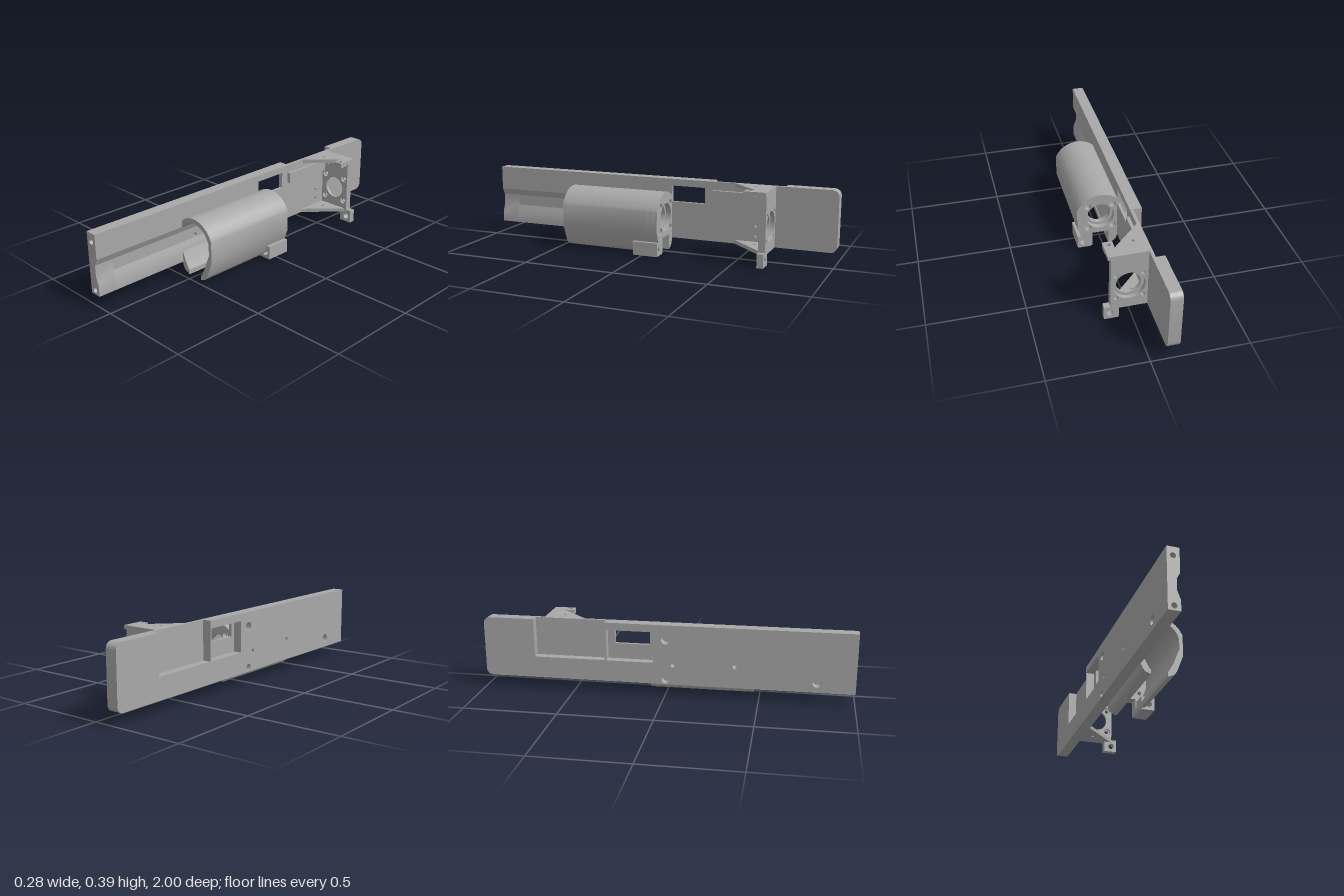
import * as THREE from 'three';
import { toCreasedNormals } from 'three/addons/utils/BufferGeometryUtils.js';

const CX = 0.013, CY = 0.196; // bore axis

// Shape from points, with round holes [x, y, r] and rectangular holes [x0, y0, x1, y1]
function poly(pts, holes = []) {
  const s = new THREE.Shape(pts.map(p => new THREE.Vector2(p[0], p[1])));
  for (const h of holes) {
    if (h.length === 3) {
      const p = new THREE.Path();
      p.absarc(h[0], h[1], h[2], 0, Math.PI * 2, true);
      s.holes.push(p);
    } else {
      const [a, b, c, d] = h;
      s.holes.push(new THREE.Path([[a, b], [a, d], [c, d], [c, b]].map(p => new THREE.Vector2(...p))));
    }
  }
  return s;
}
const rect = (x0, y0, x1, y1, holes) => poly([[x0, y0], [x1, y0], [x1, y1], [x0, y1]], holes);

// Points of an arc around the bore axis
function arc(r, a0, a1, n = 28) {
  return Array.from({ length: n + 1 }, (_, i) => {
    const a = THREE.MathUtils.degToRad(a0 + (a1 - a0) * i / n);
    return [CX + r * Math.cos(a), CY + r * Math.sin(a)];
  });
}

// Rounded rear end of the plate, in (-z, y)
function rearEnd(r = 0.035) {
  const out = [];
  for (const [cy, a0] of [[0.062 + r, -90], [0.391 - r, 0]]) {
    for (let i = 0; i <= 6; i++) {
      const a = THREE.MathUtils.degToRad(a0 + 15 * i);
      out.push([1 - r + r * Math.cos(a), cy + r * Math.sin(a)]);
    }
  }
  return out;
}

export function createModel() {
  const model = new THREE.Group();
  const grey = new THREE.MeshStandardMaterial({ color: 0xa8a8a8 });
  grey.name = 'grey';

  // Extrude along z (front profile), x (side profile in -z, y) or y (plan in x, -z)
  function add(name, shape, from, to, axis = 'z', parent = model) {
    let g = new THREE.ExtrudeGeometry(shape, { depth: to - from, bevelEnabled: false, curveSegments: 24 });
    g.translate(0, 0, from);
    if (axis === 'x') g.rotateY(Math.PI / 2);
    if (axis === 'y') g.rotateX(-Math.PI / 2);
    g = toCreasedNormals(g, 0.45);
    const m = new THREE.Mesh(g, grey);
    m.name = name;
    parent.add(m);
    return m;
  }
  function group(name) {
    const g = new THREE.Group();
    g.name = name;
    model.add(g);
    return g;
  }

  // Long side plate
  const plate = group('sidePlate');
  const XO = -0.143, XM = -0.097, XI = -0.08, B = 0.062, T = 0.391, CAP = 0.9;
  add('plateOuterLayer', poly(
    [[-CAP, B], ...rearEnd(), [0.72, T], [0.72, 0.18], [0.33, 0.18], [0.33, T], [-CAP, T]],
    [[0.07, 0.18, 0.32, 0.35], [0, 0.31, 0.024], [0, 0.085, 0.02], [-0.04, 0.17, 0.012],
      [-0.37, 0.18, 0.012], [-0.8, 0.115, 0.024]]), XO, XM, 'x', plate);
  add('plateInnerRear', poly([[0.08, B], ...rearEnd(), [0.08, T]],
    [[0.09, 0.265, 0.28, 0.355], [0.57, 0.17, 0.009], [0.57, 0.115, 0.009]]), XM, XI, 'x', plate);
  // Channel flanks along the front part
  add('channelTop', poly([[XM, 0.225], [XI, 0.26], [XI, T], [XM, T]]), -0.08, CAP, 'z', plate);
  add('channelBottom', poly([[XM, B], [XI, B], [XI, 0.12], [XM, 0.165]]), -0.08, CAP, 'z', plate);
  // Front end with two blind screw holes
  add('plateFrontEnd', poly([[XO, B], [XI, B], [XI, 0.12], [XM, 0.165], [XM, 0.225], [XI, 0.26], [XI, T], [XO, T]],
    [[-0.112, 0.345, 0.0145], [-0.112, 0.086, 0.0145]]), CAP, 1, 'z', plate);
  add('innerRail', rect(0.325, 0.285, 0.64, 0.345), XI, -0.062, 'x', plate);

  // Open-bottomed tube
  const body = group('tubeHousing');
  const outerArc = arc(0.137, 20.9, 132.8), innerArc = arc(0.112, 146.1, 13.3);
  const rightOuter = [[0.058, 0.005], [0.085, 0.015], [0.098, 0.026], [0.107, 0.042], [0.141, 0.13]];
  const leftOuter = [[-0.082, 0.055], [-0.073, 0.03], [-0.06, 0.017], [-0.032, 0.005]];
  add('tubeShell', poly([...rightOuter, ...outerArc, ...innerArc,
    [0.122, 0.165], [0.085, 0.075], [0.064, 0.035], [0.058, 0.032]]), -0.04, 0.47, 'z', body);
  add('tubeInnerLip', poly([...leftOuter, [-0.032, 0.032], [-0.038, 0.035], [-0.06, 0.075],
    [-0.08, 0.122], [-0.084, 0.122]]), -0.04, 0.47, 'z', body);

  // Four screw holes around the bore
  const screws = r => [-1, 1].flatMap(i => [-1, 1].map(j => [CX + i * 0.068, CY + j * 0.068, r]));
  const wall = [...rightOuter, ...outerArc, [-0.084, 0.26], ...leftOuter, [-0.032, 0.09], [0.058, 0.09]];
  add('endWallFront', poly(wall, [[CX, CY, 0.062], ...screws(0.011)]), -0.06, -0.03, 'z', body);
  add('endWallBack', poly(wall, [[CX, CY, 0.076], ...screws(0.018)]), -0.09, -0.06, 'z', body);
  add('housingFoot', rect(0.065, 0.002, 0.14, 0.076, [[0.108, 0.036, 0.017]]), -0.09, 0.05, 'z', body);

  // Motor mount at the rear
  const mount = group('motorMount');
  const face = holes => rect(XI, B, 0.108, T, holes);
  add('mountFaceFront', face([[CX, CY, 0.062], ...screws(0.018)]), -0.65, -0.635, 'z', mount);
  add('mountFaceBack', face([[CX, CY, 0.08], ...screws(0.011)]), -0.672, -0.65, 'z', mount);
  add('mountFoot', rect(0.065, 0.002, 0.14, 0.076, [[0.108, 0.036, 0.017]]), -0.672, -0.637, 'z', mount);

  // Triangular braces and the drilled top tab
  add('topBrace', poly([[XI, 0.45], [0.072, 0.605], [0.123, 0.605], [0.123, 0.672], [XI, 0.672]],
    [[-0.025, 0.575, 0.009]]), 0.371, T, 'y', mount);
  add('topTab', rect(0.072, 0.555, 0.123, 0.607, [[0.097, 0.578, 0.011]]), 0.363, T, 'y', mount);
  add('topBraceLedge', rect(-0.06, 0.555, 0.025, 0.64), 0.364, 0.372, 'y', mount);
  add('bottomBrace', poly([[XI, 0.45], [0.1, 0.635], [XI, 0.635]],
    [[-0.025, 0.575, 0.009]]), B, 0.082, 'y', mount);

  return model;
}
